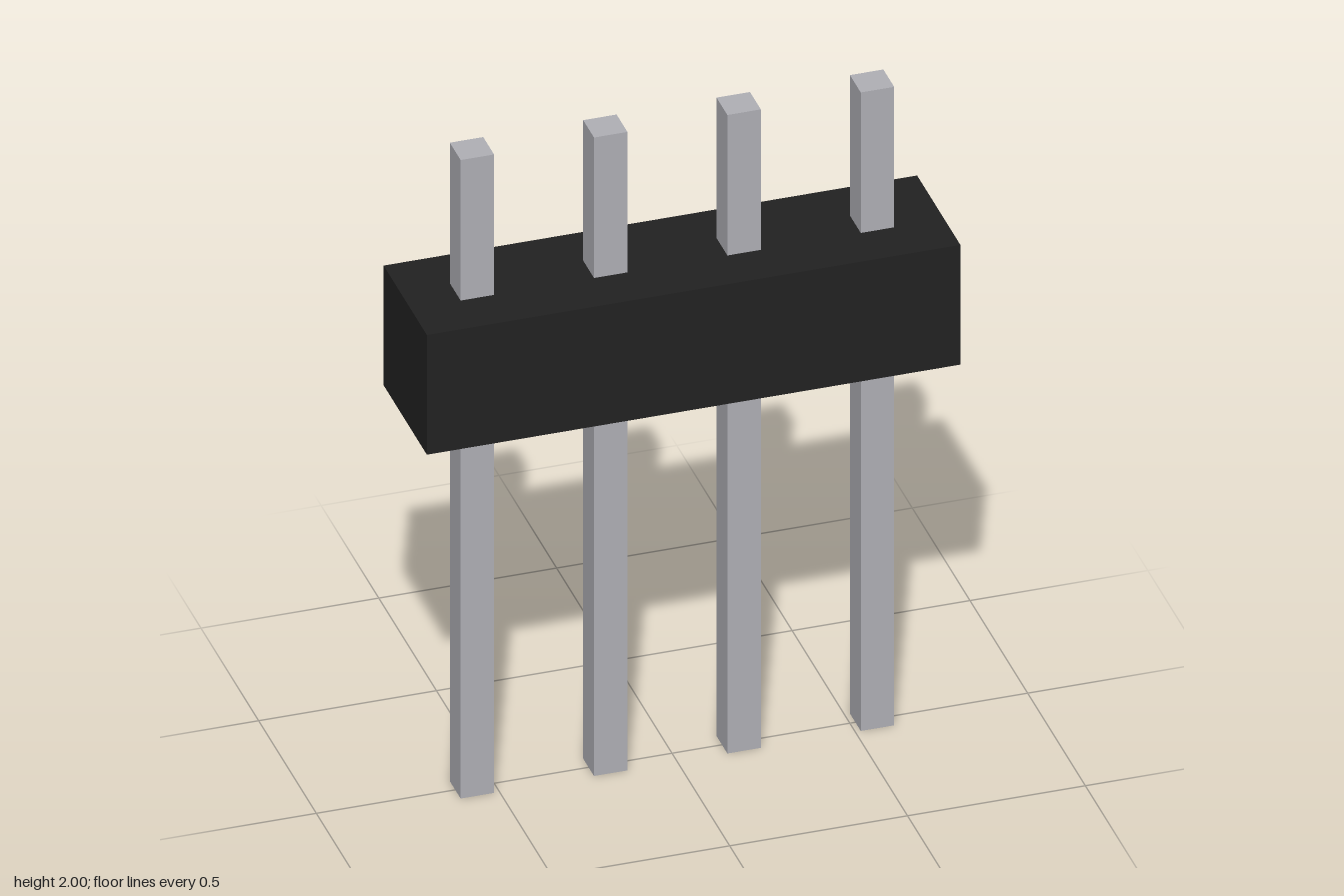
import * as THREE from 'three';

export function createModel() {
  const model = new THREE.Group();
  model.name = 'pinHeader';

  const blackPlastic = new THREE.MeshStandardMaterial({ color: 0x222222 });
  blackPlastic.name = 'black plastic';
  const greyMetal = new THREE.MeshStandardMaterial({ color: 0xb0b0b6 });
  greyMetal.name = 'grey metal';

  const pitch = 0.375;
  const pinCount = 4;
  const pinWidth = 0.094;
  const pinLength = 2;
  const housingBottom = 1.185;

  // Insulating block, one pitch deep and high
  const housing = new THREE.Mesh(new THREE.BoxGeometry(pitch * pinCount, pitch, pitch), blackPlastic);
  housing.name = 'housing';
  housing.position.y = housingBottom + pitch / 2;
  model.add(housing);

  // Square pins running straight through the block
  const pinGeometry = new THREE.BoxGeometry(pinWidth, pinLength, pinWidth);
  for (let i = 0; i < pinCount; i++) {
    const pin = new THREE.Mesh(pinGeometry, greyMetal);
    pin.name = `pin${i + 1}`;
    pin.position.set((i - (pinCount - 1) / 2) * pitch, pinLength / 2, 0);
    model.add(pin);
  }

  return model;
}
